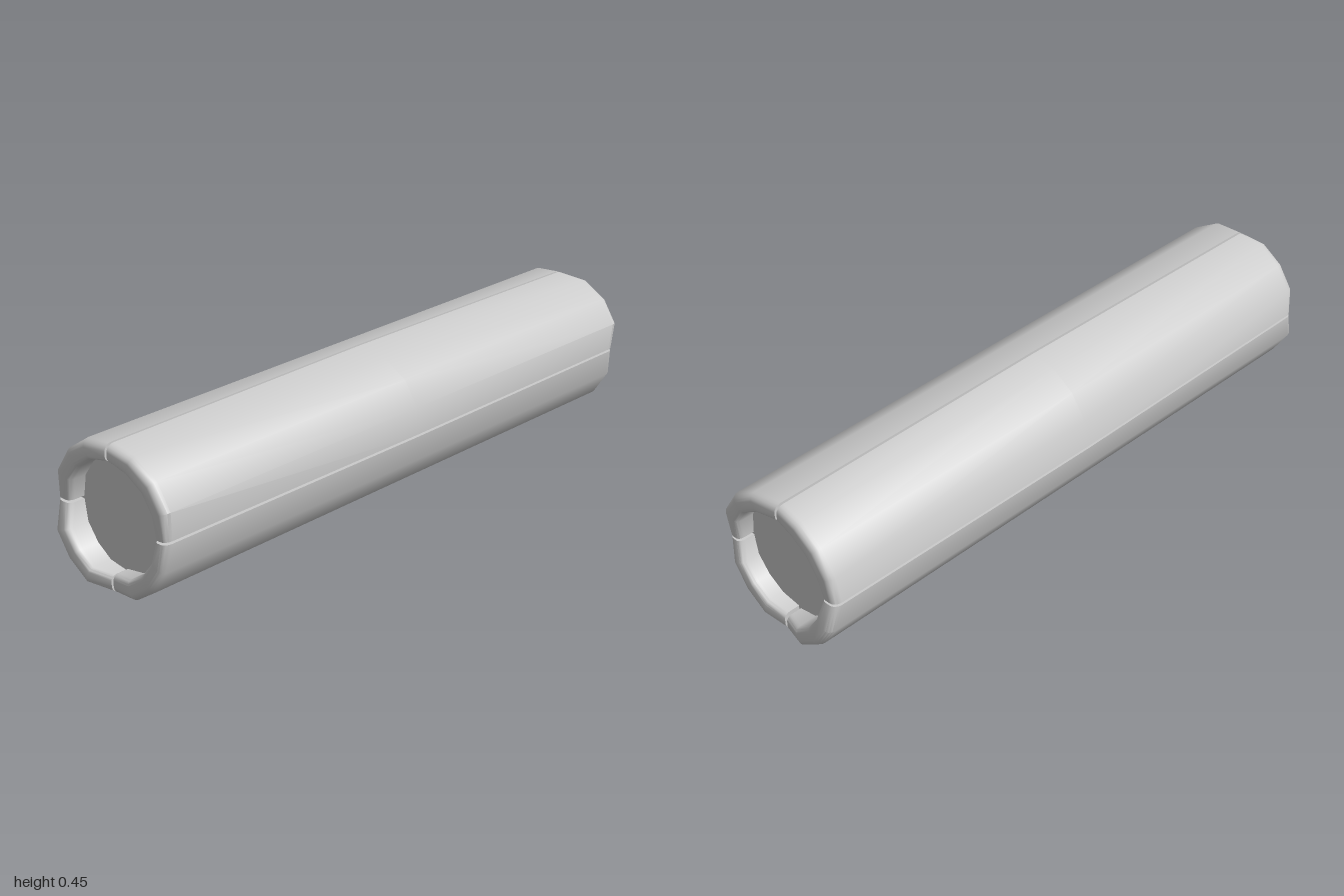
import * as THREE from 'three';
import { toCreasedNormals } from 'three/addons/utils/BufferGeometryUtils.js';

const material = new THREE.MeshStandardMaterial({ color: 0xcccccc });
const CENTRE_Y = 0.227;

// Quarter arcs as [z, y] from the top seam to the side seam
const OUTER = [[0.004, 0.227], [0.088, 0.21], [0.16, 0.162], [0.209, 0.088], [0.226, 0.004]];
const INNER = [[0.004, 0.166], [0.065, 0.156], [0.115, 0.121], [0.152, 0.07], [0.163, 0.004]];
const WIDE_OUTER = [[0.004, 0.227], [0.1, 0.21], [0.18, 0.163], [0.227, 0.09], [0.227, 0.004]];
const WIDE_INNER = [[0.004, 0.166], [0.08, 0.156], [0.138, 0.121], [0.172, 0.07], [0.177, 0.004]];

// Lengthwise section of a shell: x along the tube, t from inner (0) to outer (1)
function lengthSection(half, barrel) {
  const end = [], steps = 4, top = 1 - barrel;
  for (let k = 0; k <= steps; k++) { // inner corner
    const a = (k / steps) * Math.PI / 2;
    end.push([half - 0.02 + 0.02 * Math.sin(a), 0.25 * (1 - Math.cos(a))]);
  }
  for (let k = 0; k <= steps; k++) { // outer corner
    const a = (k / steps) * Math.PI / 2;
    end.push([half - 0.025 + 0.025 * Math.cos(a), top - 0.35 * (1 - Math.sin(a))]);
  }
  const mirrored = end.map(([x, t]) => [-x, t]).reverse();
  return [...end, [0, 1], ...mirrored];
}

// Sweeps the section along a quarter arc and closes both seams
function shell(name, outer, inner, sz, sy, bulge) {
  const last = outer.length - 1;
  const positions = [], index = [];
  let n = 0;
  outer.forEach((o, i) => {
    const seam = i === 0 || i === last;
    const loop = lengthSection(seam ? 0.977 : 0.985 + bulge, seam ? 0.13 : 0);
    n = loop.length;
    for (const [x, t] of loop) {
      const z = THREE.MathUtils.lerp(inner[i][0], o[0], t);
      const y = THREE.MathUtils.lerp(inner[i][1], o[1], t);
      positions.push(x, CENTRE_Y + sy * y, sz * z);
    }
  });
  const face = (a, b, c) => (sz * sy > 0 ? index.push(a, b, c) : index.push(a, c, b));
  for (let i = 0; i < last; i++) {
    for (let j = 0; j < n; j++) {
      const a = i * n + j, b = i * n + (j + 1) % n;
      face(a, b, a + n);
      face(b, b + n, a + n);
    }
  }
  for (let j = 1; j < n - 1; j++) {
    face(0, j + 1, j);
    face(last * n, last * n + j, last * n + j + 1);
  }
  const geometry = new THREE.BufferGeometry();
  geometry.setAttribute('position', new THREE.Float32BufferAttribute(positions, 3));
  geometry.setIndex(index);
  const mesh = new THREE.Mesh(toCreasedNormals(geometry, 0.65), material);
  mesh.name = name;
  return mesh;
}

export function createModel() {
  const group = new THREE.Group();
  group.name = 'segmentedTube';

  // Four shell quarters with narrow seams between them
  const lowInner = INNER.map(([z, y]) => [z * 1.08, y * 0.97]);
  group.add(
    shell('upperFrontShell', WIDE_OUTER, WIDE_INNER, 1, 1, 0),
    shell('upperBackShell', OUTER, INNER, -1, 1, 0),
    shell('lowerFrontShell', OUTER, lowInner, 1, -1, 0),
    shell('lowerBackShell', OUTER, INNER, -1, -1, 0.015),
  );

  // Solid core, recessed at both ends
  const core = new THREE.Mesh(new THREE.CylinderGeometry(0.19, 0.19, 1.85, 32), material);
  core.name = 'core';
  core.rotation.z = Math.PI / 2;
  core.position.y = CENTRE_Y;
  group.add(core);
  return group;
}
